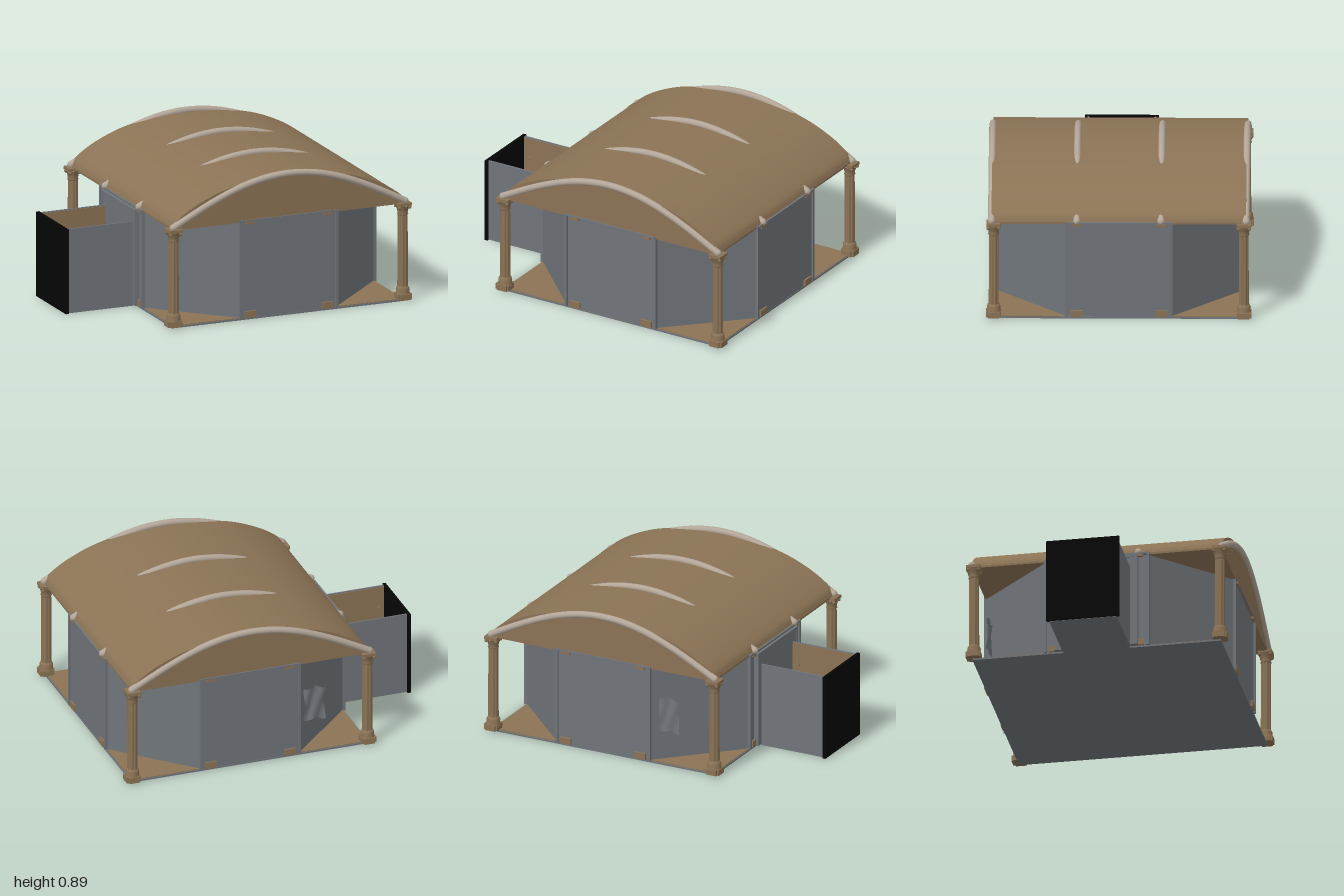
import * as THREE from 'three';

export function createModel() {
  const model = new THREE.Group();
  model.name = 'vaultedPavilion';
  const mat = (name, color) => {
    const m = new THREE.MeshStandardMaterial({ color });
    m.name = name;
    return m;
  };
  const grey = mat('wall grey', 0x70757a);
  const brown = mat('sandstone brown', 0x8b7355);
  const pale = mat('pale rib', 0xb3a698);
  const black = mat('black', 0x060606);
  const sheetMat = mat('sheet grey', 0x70757a);
  sheetMat.side = THREE.DoubleSide;

  const CX = 0.21, H = 0.75;
  const hall = new THREE.Group();
  hall.name = 'hall';
  hall.position.x = CX;
  model.add(hall);

  const add = (parent, name, geo, material, x = 0, y = 0, z = 0) => {
    const m = new THREE.Mesh(geo, material);
    m.name = name;
    m.position.set(x, y, z);
    parent.add(m);
    return m;
  };
  const box = (parent, name, material, w, h, d, x, y, z) =>
    add(parent, name, new THREE.BoxGeometry(w, h, d), material, x, y, z);

  // Floor slab with a thin paved top
  box(hall, 'floorSlab', grey, 1.5, 0.01, 1.5, 0, 0.005, 0);
  box(hall, 'floorPaving', brown, 1.49, 0.004, 1.49, 0, 0.012, 0);

  // Eight wall panels; every second one has a raised frame and brackets
  const side = 2 * H * Math.tan(Math.PI / 8);
  for (let i = 0; i < 8; i++) {
    const wall = new THREE.Group();
    wall.name = 'wallSide';
    wall.rotation.y = i * Math.PI / 4;
    hall.add(wall);
    box(wall, 'wallPanel', grey, side, 0.59, 0.02, 0, 0.305, H - 0.012);
    if (i % 2) continue;
    for (const s of [-1, 1]) {
      box(wall, 'wallPost', grey, 0.016, 0.605, 0.03, s * 0.31, 0.3125, H - 0.005);
      box(wall, 'footBracket', brown, 0.072, 0.04, 0.03, s * 0.25, 0.032, H - 0.005);
      box(wall, 'topBracket', brown, 0.06, 0.016, 0.034, s * 0.25, 0.597, H - 0.003);
    }
    box(wall, 'wallTopRail', grey, 0.62, 0.012, 0.024, 0, 0.609, H);
  }

  // Vaulted roof with closed gables
  const half = [[0.72, 0.663], [0.615, 0.733], [0.47, 0.797], [0.33, 0.834], [0.16, 0.859]];
  const arc = [[0.75, 0.615], ...half, [0, 0.866],
    ...half.slice().reverse().map(([x, y]) => [-x, y]), [-0.75, 0.615]];
  const curve = new THREE.SplineCurve(arc.map(([x, y]) => new THREE.Vector2(x, y)));
  const roofShape = new THREE.Shape([new THREE.Vector2(-0.75, 0.602),
    new THREE.Vector2(0.75, 0.602), ...curve.getPoints(48)]);
  add(hall, 'vaultedRoof', new THREE.ExtrudeGeometry(roofShape,
    { depth: 1.51, bevelEnabled: false }), brown, 0, 0, -0.755);

  // Four arched ribs with rounded ends
  const ribPoints = [];
  for (let i = 0; i <= 24; i++) {
    const u = -0.75 + i * 1.5 / 24;
    ribPoints.push(new THREE.Vector3(u, 0.62 + 0.253 * Math.cos(u / 0.75 * Math.PI / 2), 0));
  }
  const ribGeo = new THREE.TubeGeometry(new THREE.CatmullRomCurve3(ribPoints), 48, 0.021, 12);
  for (const z of [-0.755, -0.25, 0.25, 0.755]) {
    add(hall, 'roofRib', ribGeo, pale, 0, 0, z);
    for (const s of [-1, 1])
      add(hall, 'ribEnd', new THREE.SphereGeometry(0.022, 12, 8), pale, s * 0.75, 0.62, z);
  }

  // Fluted corner columns
  const shaftGeo = new THREE.CylinderGeometry(0.03, 0.032, 0.46, 48, 1);
  const p = shaftGeo.attributes.position;
  for (let i = 0; i < p.count; i++) {
    const k = 1 - 0.16 * (0.5 + 0.5 * Math.cos(8 * Math.atan2(p.getZ(i), p.getX(i))));
    p.setX(i, p.getX(i) * k);
    p.setZ(i, p.getZ(i) * k);
  }
  shaftGeo.computeVertexNormals();
  const profile = pts => new THREE.LatheGeometry(pts.map(([r, y]) => new THREE.Vector2(r, y)), 16);
  const baseGeo = profile([[0.046, 0.04], [0.04, 0.06], [0.041, 0.075], [0.036, 0.088], [0.028, 0.095]]);
  const capGeo = profile([[0.028, 0.53], [0.034, 0.537], [0.03, 0.545], [0.034, 0.565], [0.046, 0.592]]);
  for (const sx of [-1, 1]) for (const sz of [-1, 1]) {
    const column = new THREE.Group();
    column.name = 'cornerColumn';
    column.position.set(sx * 0.742, 0, sz * 0.742);
    hall.add(column);
    box(column, 'plinth', brown, 0.088, 0.036, 0.066, sx * 0.002, 0.03, 0);
    box(column, 'plinthCross', brown, 0.066, 0.036, 0.088, 0, 0.03, sz * 0.002);
    add(column, 'base', baseGeo, brown);
    add(column, 'shaft', shaftGeo, brown, 0, 0.31, 0);
    add(column, 'capital', capGeo, brown);
    box(column, 'abacus', brown, 0.084, 0.018, 0.084, 0, 0.601, 0);
    // Curled leaves at the capital's corners
    for (let i = 0; i < 4; i++) {
      const a = Math.PI / 4 + i * Math.PI / 2;
      add(column, 'capitalScroll', new THREE.SphereGeometry(0.011, 8, 6), brown,
        Math.cos(a) * 0.045, 0.582, Math.sin(a) * 0.045);
    }
  }

  // Open-topped porch: grey outside, brown inside, black end
  const porch = new THREE.Group();
  porch.name = 'porch';
  model.add(porch);
  box(porch, 'porchFloor', grey, 0.45, 0.01, 0.4, -0.765, 0.005, 0);
  box(porch, 'porchPaving', brown, 0.44, 0.004, 0.38, -0.765, 0.012, 0);
  for (const s of [-1, 1]) {
    box(porch, 'porchWall', grey, 0.44, 0.515, 0.01, -0.765, 0.2625, s * 0.2);
    box(porch, 'porchLining', brown, 0.44, 0.505, 0.006, -0.765, 0.2625, s * 0.193);
    for (const x of [-0.95, -0.6]) {
      const knob = add(porch, 'wallKnob', new THREE.CylinderGeometry(0.012, 0.012, 0.012, 12),
        brown, x, 0.38, s * 0.186);
      knob.rotation.x = Math.PI / 2;
    }
  }
  box(porch, 'porchEnd', black, 0.02, 0.52, 0.44, -0.99, 0.262, 0);

  // Door surround and arched doorway
  const door = new THREE.Group();
  door.name = 'doorway';
  model.add(door);
  box(door, 'doorSurround', grey, 0.025, 0.57, 0.46, -0.55, 0.297, 0);
  for (const s of [-1, 1]) {
    box(door, 'doorPost', grey, 0.03, 0.59, 0.02, -0.552, 0.307, s * 0.24);
    box(door, 'doorJamb', brown, 0.02, 0.27, 0.02, -0.566, 0.147, s * 0.12);
  }
  box(door, 'doorLintel', grey, 0.03, 0.02, 0.5, -0.552, 0.592, 0);
  const arch = add(door, 'doorArch', new THREE.TorusGeometry(0.12, 0.011, 8, 24, Math.PI),
    brown, -0.566, 0.28, 0);
  arch.rotation.y = Math.PI / 2;

  // Rippled sheet hanging out from the rear diagonal wall
  const sheetGeo = new THREE.PlaneGeometry(0.14, 0.21, 8, 10);
  const q = sheetGeo.attributes.position;
  for (let i = 0; i < q.count; i++) {
    const x = q.getX(i), y = q.getY(i);
    q.setX(i, x * (0.88 + 0.12 * Math.abs(y) / 0.105));
    q.setY(i, y + 0.008 * Math.cos(x * 60));
    q.setZ(i, 0.008 * Math.sin(x * 70 + y * 25));
  }
  sheetGeo.computeVertexNormals();
  add(model, 'hangingSheet', sheetGeo, sheetMat, -0.21, 0.305, -0.71);

  return model;
}
